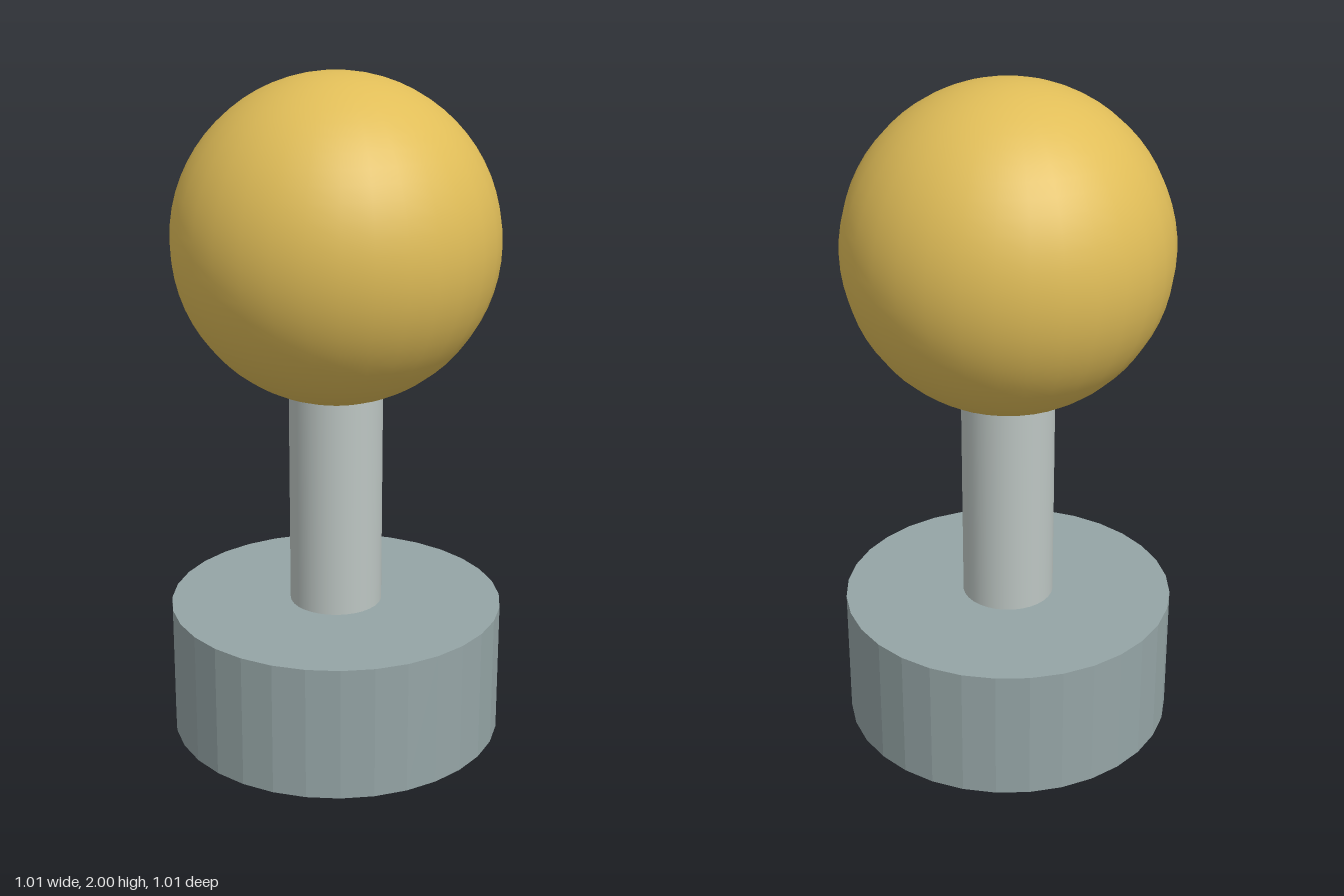
import * as THREE from 'three';

const material = (name, color, flatShading = false) => {
  const m = new THREE.MeshStandardMaterial({ color, flatShading });
  m.name = name;
  return m;
};

export function createModel() {
  const group = new THREE.Group();
  group.name = 'ballOnPedestal';

  const add = (name, geometry, mat, y) => {
    const mesh = new THREE.Mesh(geometry, mat);
    mesh.name = name;
    mesh.position.y = y;
    group.add(mesh);
  };

  const baseHeight = 0.405;
  const ballRadius = 0.478;
  const ballY = 2 - ballRadius;
  const postTop = 1.2; // ends hidden inside the ball

  // Heavy faceted disc
  add('base', new THREE.CylinderGeometry(0.505, 0.505, baseHeight, 32),
    material('slate grey', 0x95a5a6, true), baseHeight / 2);

  // Slim post, standing on the base
  add('post', new THREE.CylinderGeometry(0.14, 0.14, postTop - baseHeight, 32),
    material('light grey', 0xbdc6c3), (postTop + baseHeight) / 2);

  // Smooth ball
  add('ball', new THREE.SphereGeometry(ballRadius, 32, 32),
    material('gold', 0xe0bd58), ballY);

  return group;
}
